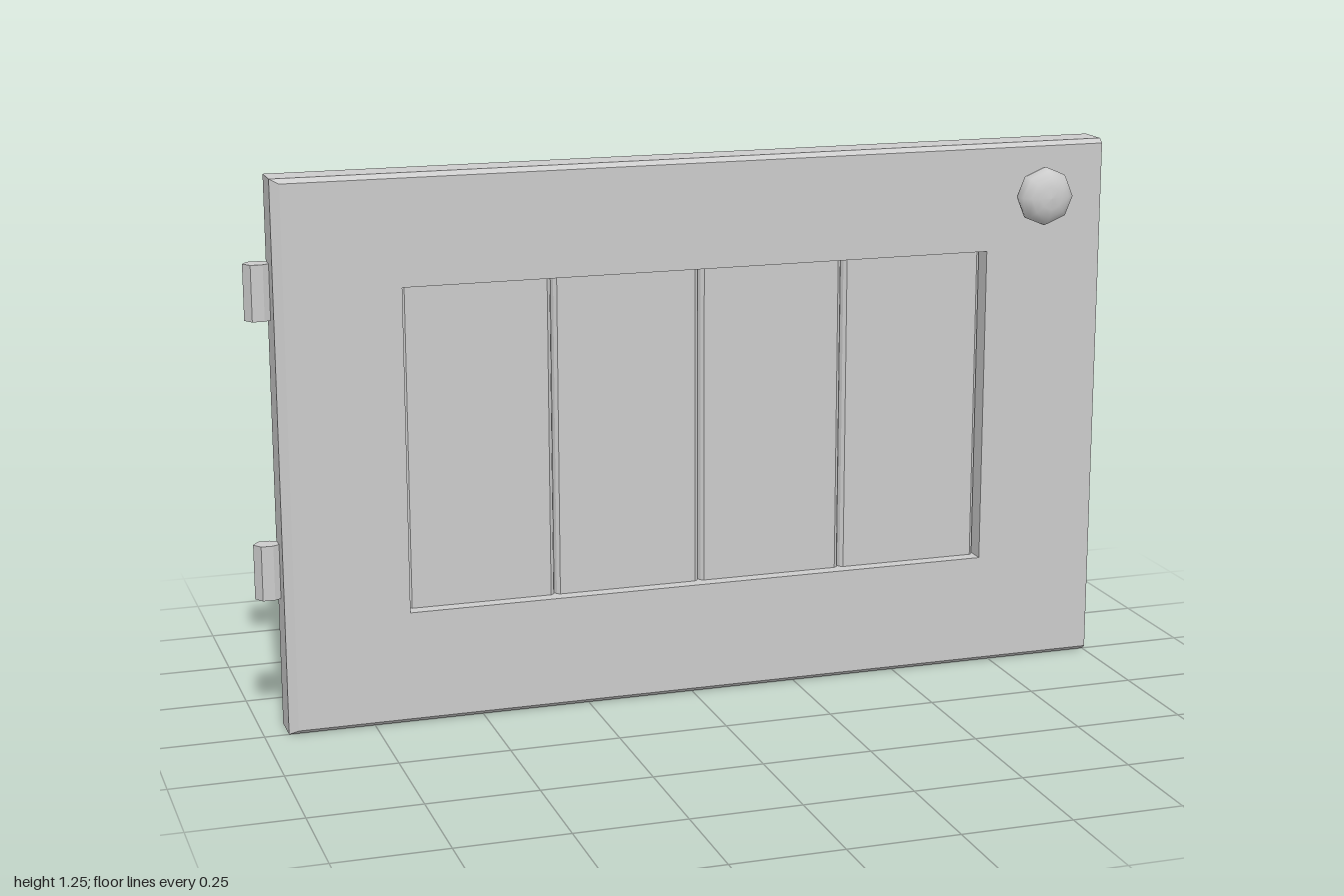
import * as THREE from 'three';

const material = new THREE.MeshStandardMaterial({ color: 0xcccccc });
const BACK = -0.075, FRONT = 0.012;
const DOOR = { left: -0.945, right: 1, bottom: 0, top: 1.25 };
const PANEL = { left: -0.665, right: 0.715, bottom: 0.26, top: 1 };

function part(name, geometry) {
  const mesh = new THREE.Mesh(geometry, material);
  mesh.name = name;
  return mesh;
}

function corners({ left, right, bottom, top }) {
  return [[left, bottom], [right, bottom], [right, top], [left, top]].map(p => new THREE.Vector2(...p));
}

// Extrude an outline of [x, z] points upward from y0 to y1
function extrudeUp(points, y0, y1) {
  const shape = new THREE.Shape(points.map(([x, z]) => new THREE.Vector2(x, -z)));
  return new THREE.ExtrudeGeometry(shape, { depth: y1 - y0, bevelEnabled: false })
    .rotateX(-Math.PI / 2).translate(0, y0, 0);
}

// Door slab with a window, front edge chamfered at left, top and bottom
function frameGeometry() {
  const shape = new THREE.Shape(corners(DOOR));
  shape.holes.push(new THREE.Path(corners(PANEL)));
  const geometry = new THREE.ExtrudeGeometry(shape, { depth: 1, steps: 2, bevelEnabled: false });
  const p = geometry.attributes.position;
  for (let i = 0; i < p.count; i++) {
    const layer = Math.round(p.getZ(i) * 2);
    p.setZ(i, [BACK, 0, FRONT][layer]);
    if (layer < 2) continue;
    if (p.getX(i) < DOOR.left + 0.001) p.setX(i, DOOR.left + 0.02);
    if (p.getY(i) < 0.001) p.setY(i, 0.01);
    else if (p.getY(i) > DOOR.top - 0.001) p.setY(i, DOOR.top - 0.01);
  }
  geometry.computeVertexNormals();
  return geometry;
}

// Four recessed boards with eased edges that meet in grooves
function boardsGeometry() {
  const points = [[PANEL.right, BACK], [PANEL.left, BACK]];
  const width = (PANEL.right - PANEL.left) / 4;
  for (let i = 0; i < 4; i++) {
    const a = PANEL.left + i * width, b = a + width;
    if (i === 0) points.push([a, -0.034]);
    points.push([a + 0.004, -0.025], [a + 0.011, -0.02]);
    points.push([b - 0.011, -0.02], [b - 0.004, -0.025], [b, -0.034]);
  }
  return extrudeUp(points, PANEL.bottom, PANEL.top);
}

export function createModel() {
  const door = new THREE.Group();
  door.name = 'cabinetDoor';
  door.add(part('doorFrame', frameGeometry()));
  door.add(part('panelBoards', boardsGeometry()));

  // Faceted hinge barrels on the left edge
  const hinge = [[-1, -0.055], [-0.986, -0.077], [-0.959, -0.077], [-0.944, -0.068], [-0.944, -0.042], [-0.959, -0.033], [-0.986, -0.033]];
  for (const [name, y] of [['lowerHinge', 0.305], ['upperHinge', 0.935]]) {
    door.add(part(name, extrudeUp(hinge, y, y + 0.125)));
  }

  // Rounded knob
  const profile = [[0.057, 0], [0.066, 0.016], [0.068, 0.027], [0.062, 0.044], [0.046, 0.057], [0.026, 0.064], [0, 0.066]];
  const knob = new THREE.LatheGeometry(profile.map(p => new THREE.Vector2(...p)), 8);
  knob.rotateX(Math.PI / 2).translate(0.846, 1.127, FRONT - 0.001);
  door.add(part('knob', knob));
  return door;
}
